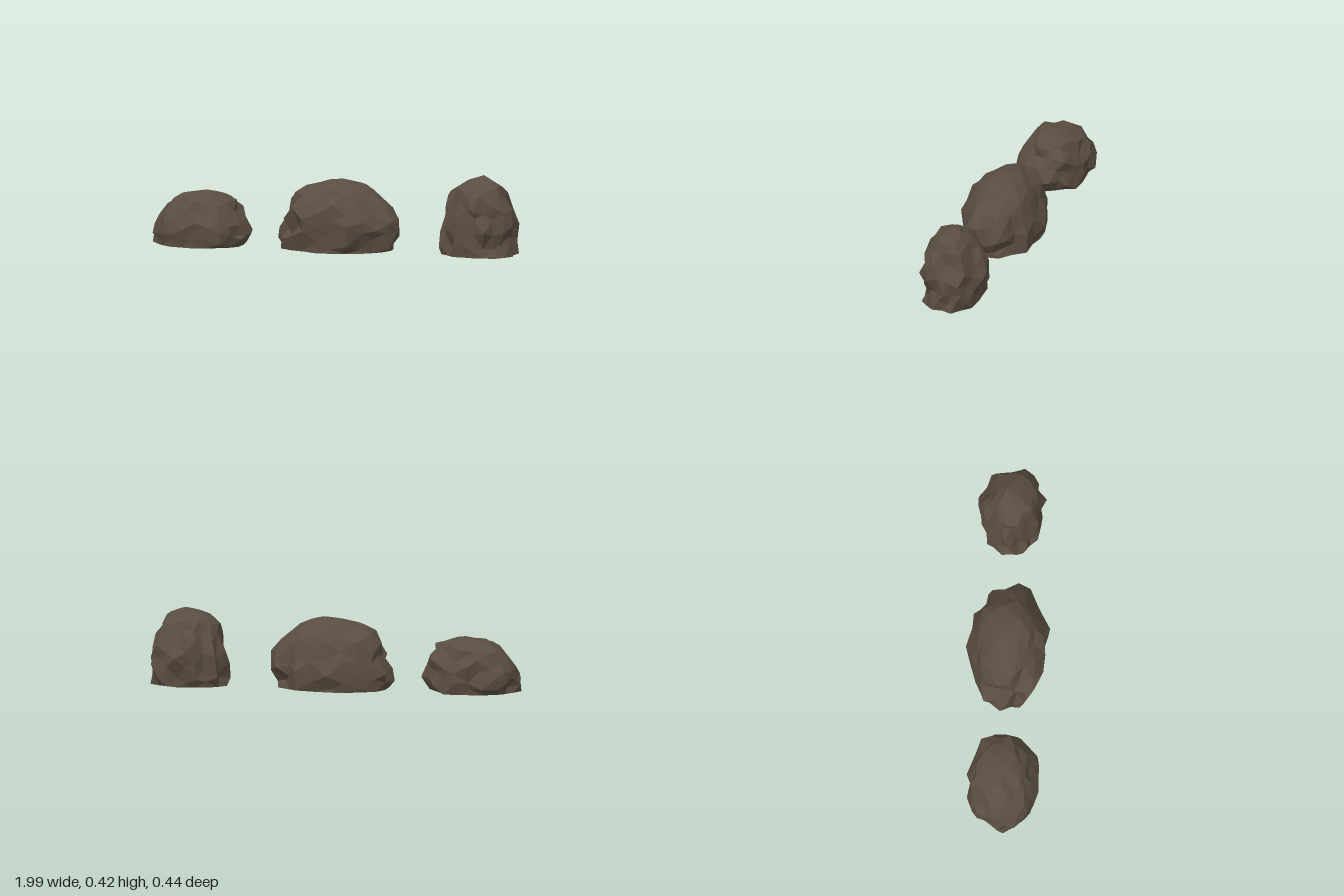
import * as THREE from 'three';
import { mergeVertices } from 'three/addons/utils/BufferGeometryUtils.js';

// plan: outline radius every 30 degrees, from +x towards +z, relative to an ellipse
// rows: [y, xMin, xMax, zMin, zMax] from the peak down to the base
const ROCKS = [
  {
    name: 'lowRock', seed: 11, rough: 0.12,
    plan: [1, 1.03, 1.05, 1, 1.02, 0.98, 1, 0.99, 1.03, 1, 1.07, 1],
    rows: [
      [0.29, -0.7, -0.7, -0.01, -0.01],
      [0.275, -0.81, -0.59, -0.09, 0.07],
      [0.235, -0.91, -0.54, -0.15, 0.12],
      [0.16, -0.96, -0.485, -0.19, 0.17],
      [0.07, -0.99, -0.47, -0.2, 0.19],
      [0, -0.995, -0.505, -0.175, 0.165],
    ],
  },
  {
    name: 'largeRock', seed: 23, rough: 0.11,
    plan: [0.98, 1, 0.95, 0.98, 0.96, 0.95, 0.97, 1.03, 1.08, 1.02, 1.06, 0.98],
    rows: [
      [0.377, 0.04, 0.04, -0.01, -0.01],
      [0.355, -0.13, 0.16, -0.09, 0.09],
      [0.3, -0.22, 0.25, -0.14, 0.145],
      [0.2, -0.29, 0.34, -0.205, 0.21],
      [0.09, -0.31, 0.35, -0.225, 0.21],
      [0, -0.305, 0.315, -0.195, 0.185],
    ],
  },
  {
    name: 'tallRock', seed: 37, rough: 0.14,
    plan: [0.98, 1.06, 1.08, 1, 1.03, 0.98, 1, 1.06, 0.98, 1, 0.98, 1.06],
    rows: [
      [0.418, 0.8, 0.8, -0.045, -0.045],
      [0.385, 0.69, 0.88, -0.08, 0.08],
      [0.32, 0.625, 0.935, -0.135, 0.12],
      [0.21, 0.595, 0.98, -0.175, 0.15],
      [0.09, 0.58, 0.99, -0.19, 0.16],
      [0, 0.575, 0.99, -0.155, 0.145],
    ],
  },
];

const CUT = THREE.MathUtils.degToRad(115); // polar angle where the flat base begins

function seeded(seed) {
  let s = seed * 7919;
  return () => {
    s = (s * 16807) % 2147483647;
    return (s / 2147483647) * 2 - 1;
  };
}

function rockGeometry({ seed, rough, plan, rows }) {
  const rand = seeded(seed);
  const ball = new THREE.IcosahedronGeometry(1, 3);
  ball.deleteAttribute('uv');
  ball.deleteAttribute('normal');
  const geo = mergeVertices(ball, 1e-4);
  const pos = geo.attributes.position;
  const { lerp, clamp } = THREE.MathUtils;

  for (let i = 0; i < pos.count; i++) {
    const polar = Math.acos(clamp(pos.getY(i), -1, 1));
    const angle = Math.atan2(pos.getZ(i), pos.getX(i));

    // cross-section at this level
    const u = Math.min(polar / CUT, 1) * (rows.length - 1);
    const k = Math.min(Math.floor(u), rows.length - 2);
    const [y, x0, x1, z0, z1] = rows[k].map((v, j) => lerp(v, rows[k + 1][j], u - k));

    // outline radius in this direction
    const a = ((angle / (Math.PI * 2) + 1) % 1) * 12;
    const n = Math.floor(a);
    let r = lerp(plan[n % 12], plan[(n + 1) % 12], a - n);

    // chipped surface above, ragged flat disc below
    const onBase = polar > CUT;
    const chipY = rand() * 0.022 * Math.sin(polar);
    r *= 1 + (rand() - 0.25) * rough * (onBase ? 0.5 : 1);
    if (onBase) r *= Math.min(1, (Math.sin(polar) / Math.sin(CUT)) * 1.1);
    pos.setXYZ(
      i,
      (x0 + x1) / 2 + (Math.cos(angle) * r * (x1 - x0)) / 2,
      onBase ? 0 : Math.max(0, y + chipY),
      (z0 + z1) / 2 + (Math.sin(angle) * r * (z1 - z0)) / 2,
    );
  }

  const flat = geo.toNonIndexed();
  flat.computeVertexNormals();
  return flat;
}

export function createModel() {
  const group = new THREE.Group();
  group.name = 'rocks';
  const stone = new THREE.MeshStandardMaterial({ color: 0x5a4d41 });
  stone.name = 'brownStone';
  for (const rock of ROCKS) {
    const mesh = new THREE.Mesh(rockGeometry(rock), stone);
    mesh.name = rock.name;
    group.add(mesh);
  }
  return group;
}
